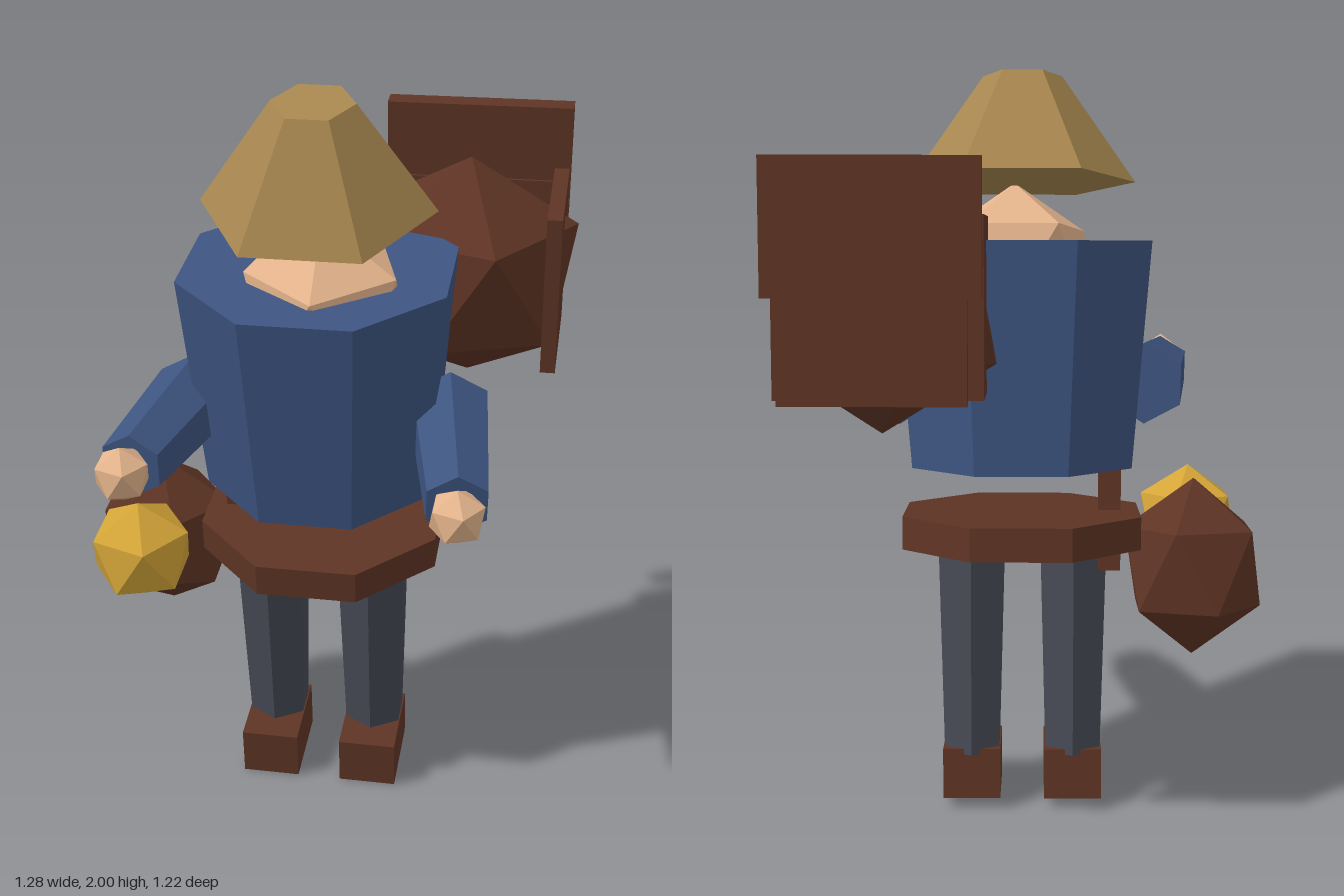
import * as THREE from 'three';

const TILT = 0.14; // the whole figure leans forward

export function createModel() {
  const model = new THREE.Group();
  const paint = (name, color) => {
    const m = new THREE.MeshStandardMaterial({ color, flatShading: true });
    m.name = name;
    return m;
  };
  const blue = paint('blue cloth', 0x3d5480);
  const grey = paint('grey cloth', 0x464954);
  const brown = paint('brown leather', 0x5e3424);
  const skin = paint('skin', 0xe4b48c);
  const straw = paint('straw', 0xa88750);
  const gold = paint('gold', 0xd3a438);

  const add = (name, geometry, material, [x, y, z], tilt = TILT) => {
    const mesh = new THREE.Mesh(geometry, material);
    mesh.name = name;
    mesh.position.set(x, y, z);
    mesh.rotation.x = tilt;
    model.add(mesh);
    return mesh;
  };

  // Icosahedron standing on a corner, with an upper corner towards +x at turn 0
  const ball = (rx, ry = rx, rz = rx, turn = 0) =>
    new THREE.IcosahedronGeometry(1)
      .rotateZ(Math.atan(2 / (1 + Math.sqrt(5))))
      .rotateY(Math.PI + turn)
      .scale(rx, ry, rz);

  const prism = (top, bottom, height, sides, turn = 0) =>
    new THREE.CylinderGeometry(top, bottom, height, sides).rotateY(turn);

  // Torso and belt
  add('torso', prism(0.367, 0.315, 0.6, 8, Math.PI / 8), blue, [0.008, 1.257, 0.062]);
  add('belt', prism(0.343, 0.343, 0.088, 8, Math.PI / 8), brown, [0.008, 0.79, -0.01]);

  // Head and hat, nodding a little further
  add('head', ball(0.224, 0.224, 0.224, -Math.PI / 2), skin, [0.03, 1.48, 0.137], 0.23);
  add('hat', prism(0.105, 0.3, 0.28, 6, Math.PI / 6), straw, [0.008, 1.845, 0.143], 0.24);

  // Legs and feet
  for (const [side, x] of [['right', -0.132], ['left', 0.147]]) {
    add(side + 'Leg', prism(0.106, 0.087, 0.65, 6), grey, [x, 0.47, 0.005]);
    add(side + 'Foot', new THREE.BoxGeometry(0.158, 0.14, 0.235), brown, [x, 0.088, -0.006]);
  }

  // Arms reaching forward, with hands
  const arm = (side, shoulder, wrist, hand) => {
    const a = new THREE.Vector3(...shoulder);
    const b = new THREE.Vector3(...wrist);
    const geometry = prism(0.085, 0.112, a.distanceTo(b), 6).rotateX(Math.PI / 2);
    const mesh = add(side + 'Arm', geometry, blue, a.clone().lerp(b, 0.5).toArray(), 0);
    mesh.lookAt(b);
    add(side + 'Hand', ball(0.075), skin, hand);
  };
  arm('right', [-0.325, 1.17, 0.075], [-0.393, 1.135, 0.48], [-0.4, 1.14, 0.537]);
  arm('left', [0.345, 1.17, 0.07], [0.41, 1.095, 0.48], [0.415, 1.088, 0.525]);

  // Belt pouch, strap and hanging lantern
  add('pouch', ball(0.207, 0.242, 0.172), brown, [-0.455, 0.69, -0.055]);
  add('strap', new THREE.BoxGeometry(0.06, 0.3, 0.05), brown, [-0.23, 0.815, 0.01]);
  add('lantern', ball(0.148), gold, [-0.46, 0.755, 0.2]);

  // Backpack with side panels and back boards
  add('backpack', ball(0.32, 0.317, 0.295), brown, [0.355, 1.443, -0.282]);
  for (const x of [0.115, 0.585]) {
    add('packSidePanel', new THREE.BoxGeometry(0.04, 0.445, 0.335), brown, [x, 1.445, -0.28]);
  }
  add('upperBackBoard', new THREE.BoxGeometry(0.51, 0.325, 0.058), brown, [0.35, 1.675, -0.552]);
  add('lowerBackBoard', new THREE.BoxGeometry(0.445, 0.365, 0.037), brown, [0.352, 1.443, -0.567]);

  return model;
}
